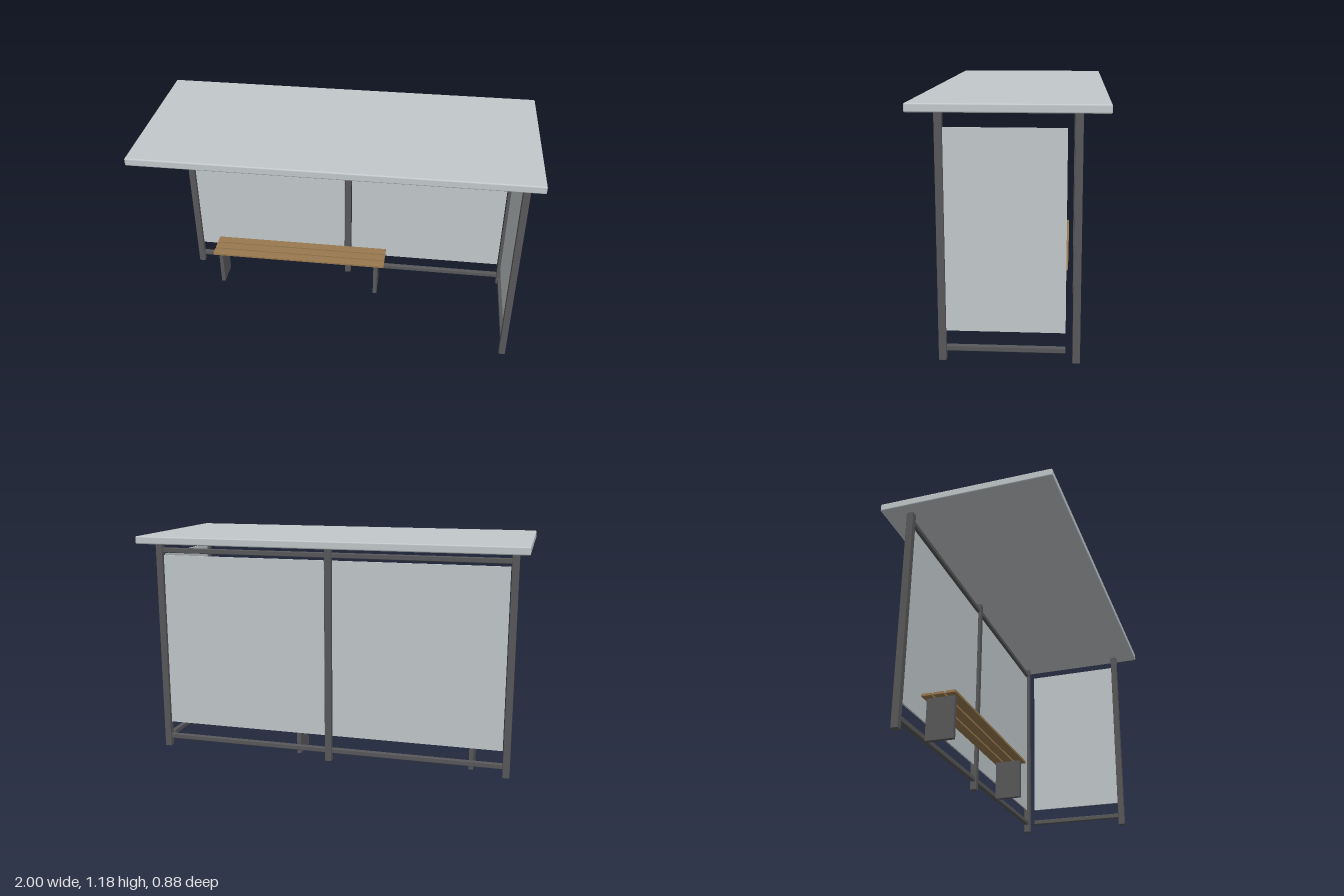
import * as THREE from 'three';
import { RoundedBoxGeometry } from 'three/addons/geometries/RoundedBoxGeometry.js';

const material = (name, color) => {
  const m = new THREE.MeshStandardMaterial({ color });
  m.name = name;
  return m;
};

export function createModel() {
  const group = new THREE.Group();
  group.name = 'busShelter';
  const roofGrey = material('roof grey', 0xc2c8cb);
  const panelGrey = material('panel grey', 0xc2c8cb);
  const steel = material('dark steel', 0x58585a);
  const wood = material('bench wood', 0x98794f);

  // Box given by its lowest and highest corners, with optional rounded edges
  const box = (name, mat, [x0, y0, z0], [x1, y1, z1], radius = 0) => {
    const size = [x1 - x0, y1 - y0, z1 - z0];
    const geometry = radius
      ? new RoundedBoxGeometry(...size, 2, radius)
      : new THREE.BoxGeometry(...size);
    const mesh = new THREE.Mesh(geometry, mat);
    mesh.name = name;
    mesh.position.set((x0 + x1) / 2, (y0 + y1) / 2, (z0 + z1) / 2);
    group.add(mesh);
  };

  const postX = 0.93, postZ = 0.304, half = 0.0175;

  // Roof slab
  box('roof', roofGrey, [-1, 1.14, -0.44], [1, 1.18, 0.44], 0.007);

  // Three rear posts and one front post on the left
  for (const [name, x, z] of [
    ['rearRightPost', -postX, -postZ], ['rearMiddlePost', 0, -postZ],
    ['rearLeftPost', postX, -postZ], ['frontLeftPost', postX, postZ],
  ]) {
    box(name, steel, [x - half, 0, z - half], [x + half, 1.14, z + half], 0.003);
  }

  // Rear bays: a panel between a lower and an upper rail
  for (const side of [-1, 1]) {
    const a = side < 0 ? -postX + half : half;
    const b = side < 0 ? -half : postX - half;
    box('rearPanel', panelGrey, [a + 0.004, 0.14, -postZ - 0.004], [b - 0.004, 1.07, -postZ + 0.004]);
    for (const y of [0.045, 1.084]) {
      box('rearRail', steel, [a, y, -postZ - 0.0125], [b, y + 0.026, -postZ + 0.0125], 0.004);
    }
  }

  // Left end wall, stopping short of the rear post
  box('sidePanel', panelGrey, [postX - 0.004, 0.14, -0.255], [postX + 0.004, 1.07, postZ - half]);
  box('sideRail', steel, [postX - 0.0125, 0.045, -0.255], [postX + 0.0125, 0.071, postZ - half], 0.004);

  // Bench: slats on two plate legs
  for (const z of [-0.235, -0.175, -0.115]) {
    box('benchSlat', wood, [-0.79, 0.208, z - 0.025], [0.235, 0.222, z + 0.025], 0.002);
  }
  for (const x of [-0.747, 0.185]) {
    box('benchLeg', steel, [x - 0.011, 0, -0.245], [x + 0.011, 0.208, -0.105]);
  }

  return group;
}
